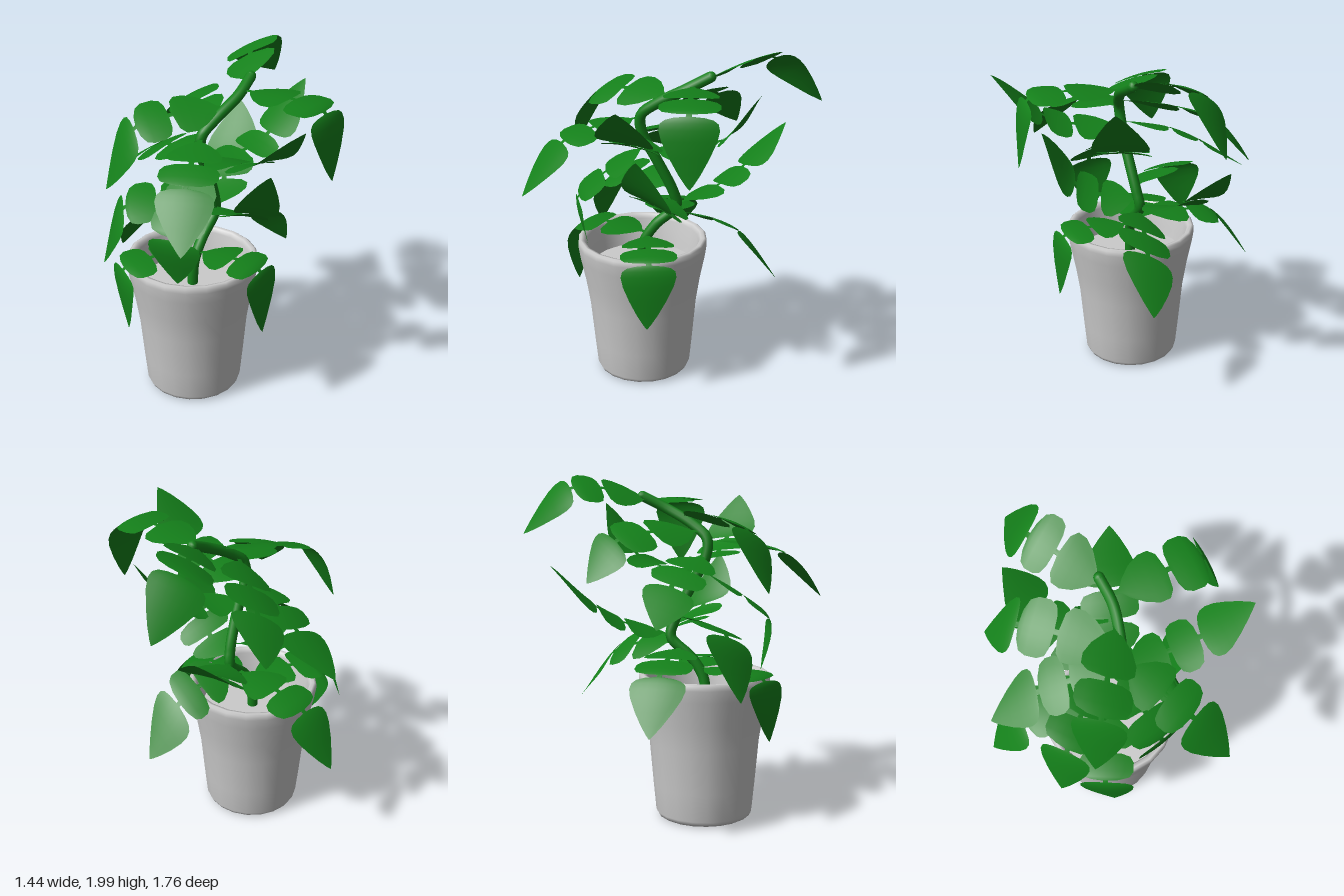
import * as THREE from 'three';

const V = (x, y, z) => new THREE.Vector3(x, y, z);
const green = new THREE.MeshStandardMaterial({ color: 0x14801a, side: THREE.DoubleSide });
const grey = new THREE.MeshStandardMaterial({ color: 0xcccccc, side: THREE.DoubleSide });

// Winding stem, rising all the way
const stemPath = new THREE.CatmullRomCurve3([
  V(-0.08, 0.65, 0.17), V(-0.07, 0.82, 0.16), V(-0.05, 0.94, 0.09), V(-0.02, 1.06, -0.03), V(-0.01, 1.15, -0.01),
  V(-0.01, 1.38, 0.1), V(-0.02, 1.52, 0.17), V(-0.01, 1.63, 0.18), V(0.04, 1.71, 0.1), V(0.11, 1.8, -0.05), V(0.13, 1.87, -0.19),
]);
const stemPoints = stemPath.getPoints(200);

// Half-width along a frond: base leaflet (0-1), oval leaflet (1-2), pointed leaflet (2-3)
const OUTLINE = [
  [0, 0.012], [0.18, 0.015], [0.28, 0.06], [0.45, 0.115], [0.65, 0.15], [0.82, 0.15], [0.92, 0.11], [0.96, 0.015],
  [1.04, 0.015], [1.06, 0.09], [1.13, 0.14], [1.3, 0.162], [1.6, 0.162], [1.8, 0.14], [1.91, 0.08], [1.94, 0.015],
  [2.01, 0.015], [2.03, 0.08], [2.07, 0.125], [2.14, 0.15], [2.25, 0.157], [2.4, 0.143], [2.6, 0.105],
  [2.8, 0.058], [2.94, 0.02], [3, 0.001],
];

// Height on the stem, last joint x, y, z, tip x, y, z, sideways roll
const FRONDS = [
  [1.84, -0.02, 1.92, -0.6, 0.02, 1.66, -0.88, -0.5],
  [1.07, -0.11, 1.25, -0.46, -0.14, 1.49, -0.72, -0.2],
  [1.53, -0.43, 1.4, -0.04, -0.7, 1.2, -0.13, -0.25],
  [1.17, -0.47, 1.13, 0.26, -0.58, 0.78, 0.33, -0.35],
  [1, -0.52, 0.92, -0.11, -0.72, 0.62, -0.17, 0],
  [0.88, -0.37, 0.86, 0.48, -0.33, 0.5, 0.52, 0],
  [1.45, -0.02, 1.16, 0.55, -0.02, 0.86, 0.5, 0],
  [1.62, 0.1, 1.54, 0.64, 0.18, 1.27, 0.88, 0],
  [1.76, -0.32, 1.7, 0.38, -0.45, 1.36, 0.49, -0.35],
  [0.87, 0.36, 0.87, 0.21, 0.39, 0.48, 0.23, 0],
  [1.03, 0.15, 0.94, -0.37, 0.24, 0.66, -0.57, -0.5],
  [1.82, 0.65, 1.82, 0.05, 0.71, 1.44, 0.06, 0],
  [1.5, 0.41, 1.61, 0.33, 0.67, 1.86, 0.43, -0.15],
  [1.43, 0.23, 1.53, -0.23, 0.38, 1.82, -0.41, 0],
  [1.1, 0.29, 1.21, 0.18, 0.44, 1.51, 0.29, -0.35],
  [1.67, -0.32, 1.64, -0.34, -0.44, 1.42, -0.5, -0.5],
];

// A thin jointed leaf: rows of points across the spine, edges dropped slightly
function frondGeometry([stemY, kneeX, kneeY, kneeZ, tipX, tipY, tipZ, roll]) {
  const start = stemPoints.find(p => p.y >= stemY);
  const knee = V(kneeX, kneeY, kneeZ);
  const heading = knee.clone().sub(start).setY(0).normalize();
  // The first joint arches up on drooping fronds and sags on rising ones
  const joint = start.clone().lerp(knee, 0.62);
  joint.y += 0.03 * Math.sign(kneeY - tipY);
  const spine = new THREE.CatmullRomCurve3([start, joint, knee, V(tipX, tipY, tipZ)], false, 'centripetal');
  const across = V(heading.z, roll, -heading.x).normalize();

  const cols = 6, pos = [], index = [];
  OUTLINE.forEach(([s, half], row) => {
    const centre = spine.getPoint(s / 3);
    const normal = spine.getTangent(s / 3).cross(across).normalize();
    for (let c = 0; c <= cols; c++) {
      const w = half * (2 * c / cols - 1);
      const v = centre.clone().addScaledVector(across, w).addScaledVector(normal, -0.6 * w * w);
      pos.push(v.x, v.y, v.z);
      if (row && c) {
        const b = row * (cols + 1) + c, a = b - cols - 1;
        index.push(a - 1, b - 1, a, a, b - 1, b);
      }
    }
  });
  const g = new THREE.BufferGeometry();
  g.setAttribute('position', new THREE.Float32BufferAttribute(pos, 3));
  g.setIndex(index);
  g.computeVertexNormals();
  return g;
}

export function createModel() {
  const model = new THREE.Group();
  model.name = 'pottedPlant';
  const add = (name, geometry, material, parent = model) => {
    const mesh = new THREE.Mesh(geometry, material);
    mesh.name = name;
    parent.add(mesh);
    return mesh;
  };

  // Pot: flared outside, rounded rim, inner wall
  const profile = [
    [0, 0.012], [0.25, 0], [0.272, 0.012], [0.284, 0.035], [0.3, 0.2], [0.322, 0.45], [0.345, 0.6], [0.375, 0.75],
    [0.385, 0.82], [0.384, 0.85], [0.37, 0.86], [0.35, 0.855], [0.338, 0.83], [0.32, 0.72], [0.305, 0.64],
  ].map(([r, y]) => new THREE.Vector2(r, y));
  add('pot', new THREE.LatheGeometry(profile, 20), grey).position.set(-0.08, 0, 0.165);

  // Soil
  const soil = add('soil', new THREE.CircleGeometry(0.315, 20), grey);
  soil.rotation.x = -Math.PI / 2;
  soil.position.set(-0.08, 0.67, 0.165);

  // Stem with a rounded end
  const stem = new THREE.Group();
  stem.name = 'stem';
  model.add(stem);
  add('stemTube', new THREE.TubeGeometry(stemPath, 60, 0.031, 10), green, stem);
  add('stemEnd', new THREE.SphereGeometry(0.031, 10, 8), green, stem).position.copy(stemPath.getPoint(1));

  // Fronds around the stem
  const foliage = new THREE.Group();
  foliage.name = 'foliage';
  model.add(foliage);
  FRONDS.forEach((frond, i) => add(`frond${i + 1}`, frondGeometry(frond), green, foliage));

  return model;
}
